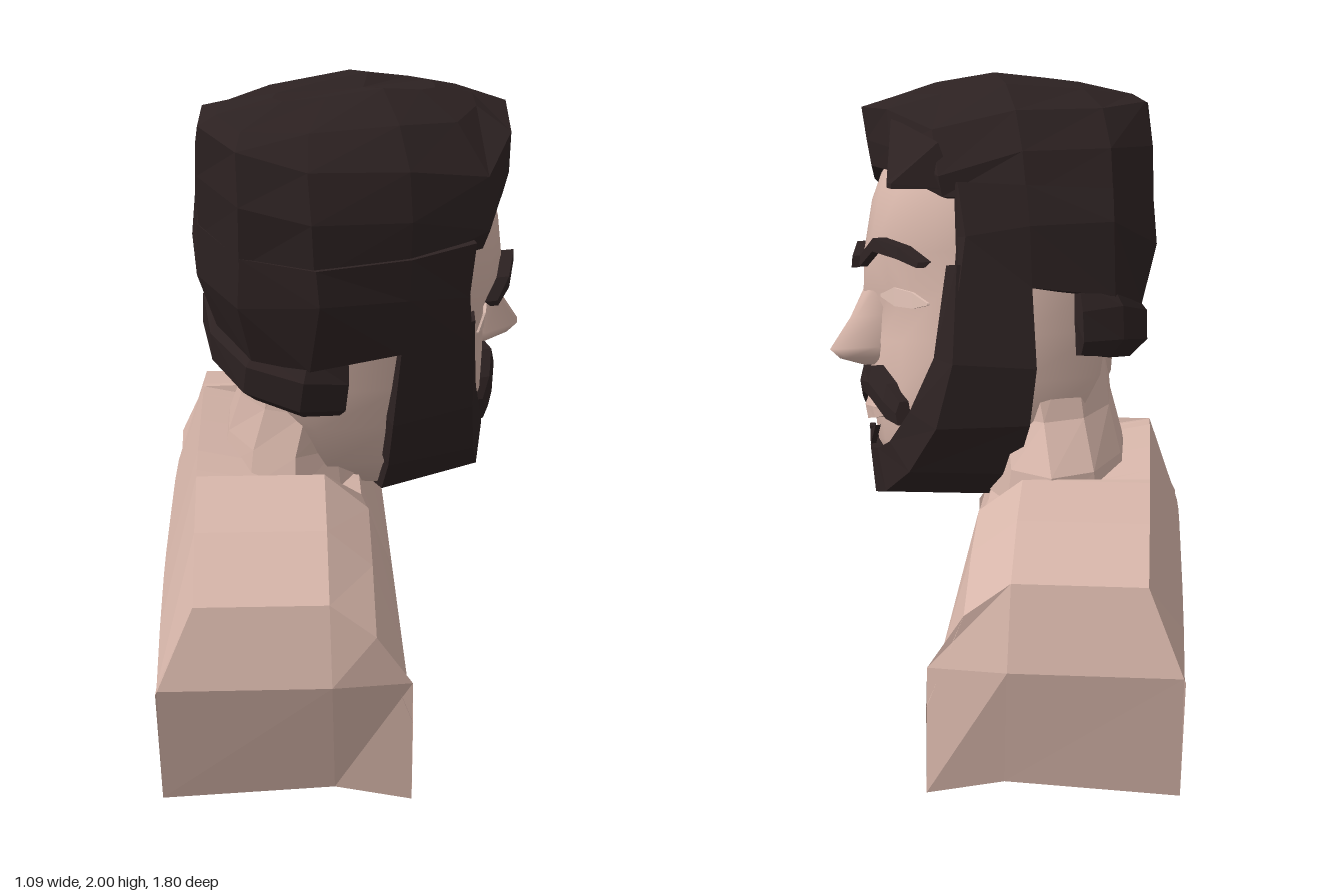
import * as THREE from 'three';

const mat = (name, color) => Object.assign(new THREE.MeshStandardMaterial({ color }), { name });

// Skin a list of closed cross-sections, with optional fan caps at both ends
function loft(sections, { smooth = false, caps = true } = {}) {
  const n = sections[0].length, pos = sections.flat(2), idx = [];
  sections.slice(1).forEach((_, i) => {
    for (let j = 0; j < n; j++) {
      const a = i * n + j, b = i * n + (j + 1) % n;
      idx.push(a, b, b + n, a, b + n, a + n);
    }
  });
  if (caps) [0, sections.length - 1].forEach((i) => {
    const c = pos.length / 3;
    for (let k = 0; k < 3; k++) pos.push(sections[i].reduce((s, p) => s + p[k], 0) / n);
    for (let j = 0; j < n; j++) {
      const a = i * n + j, b = i * n + (j + 1) % n;
      idx.push(...(i ? [c, a, b] : [c, b, a]));
    }
  });
  let g = new THREE.BufferGeometry();
  g.setAttribute('position', new THREE.Float32BufferAttribute(pos, 3));
  g.setIndex(idx);
  if (!smooth) g = g.toNonIndexed();
  g.computeVertexNormals();
  return g;
}

const flip = ([x, y, z]) => [-x, y, z];
// Half outline, front centre to back centre, completed to a ring
const ring = (half) => [...half, ...half.slice(1, -1).reverse().map(flip)];
// Sections from the left side to the middle, continued to the right side
const bothSides = (half) => [...half, ...half.slice(0, -1).reverse().map((s) => s.map(flip))];
// Hair shell section: outer points top to bottom plus inner points
const shell = (outer) => {
  const inner = ([x, y, z]) => [x * 0.82, y, z > 0 ? z : z * 0.8];
  return [inner(outer[0]), ...outer, inner(outer[outer.length - 1])];
};

export function createModel() {
  const model = new THREE.Group();
  model.name = 'bust';
  const skin = mat('skin', 0xd6b5a9);
  const eyeTone = mat('pale eye', 0xdfc0b4);
  const hair = mat('dark hair', 0x2d2222);
  const add = (parent, name, geometry, material) => {
    const m = new THREE.Mesh(geometry, material);
    m.name = name;
    parent.add(m);
  };

  // Shoulders and chest: [z, bottom z, top height, front fold height, fold x, top front x, top front height]
  const base = (z) => 0.063 - 0.078 * z;
  const body = [
    [-0.82, -0.855, 0.76, 0.66, 0.065, -0.065, 0.76], [-0.58, -0.58, 0.85, 0.75, 0.065, -0.065, 0.85],
    [-0.34, -0.34, 0.885, 0.785, 0.065, -0.065, 0.885], [-0.31, -0.31, 0.885, 0.735, 0.075, 0.045, 0.785],
    [-0.23, -0.23, 0.885, 0.6, 0.108, 0.045, 0.78], [0, 0, 0.88, 0.38, 0.16, 0.045, 0.78],
    [0.25, 0.25, 0.87, 0.55, 0.118, 0.045, 0.77], [0.36, 0.36, 0.85, 0.685, 0.078, 0.045, 0.765],
    [0.395, 0.395, 0.843, 0.735, 0.065, -0.065, 0.843], [0.62, 0.62, 0.76, 0.65, 0.065, -0.065, 0.76],
    [0.835, 0.8, 0.63, 0.53, 0.065, -0.065, 0.63],
  ].map(([z, zb, h, f, fx, tx, th]) => {
    const b = base(zb);
    return [[-0.54, b + 0.02, zb], [-0.05, b + 0.045, zb], [0.17, b, zb], [0.17, 0.32 - 0.08 * z, (z + zb) / 2],
      [fx, f, z], [tx, th, z], [-0.44, h, z], [-0.545, h * 0.62, z]];
  });
  // Arm ends: bulge above, then panels folded down to the bottom edge
  const armEnd = (section, y, z) => {
    const [back, mid, front, side] = section;
    return [
      [back, mid, front, side, [0.168, y - 0.03, z * 0.91], [-0.06, y, z], [-0.54, y, z], [-0.545, y - 0.01, z]],
      [back, mid, front, front, front, mid, back, back],
    ];
  };
  add(model, 'shoulders', loft([...armEnd(body[0], 0.53, -0.9).reverse(), ...body,
    ...armEnd(body[body.length - 1], 0.41, 0.9)], { caps: false }), skin);

  // Neck: [centre x, y, centre z, x radius, z radius]
  const neck = [[-0.15, 0.78, 0.02, 0.23, 0.38], [-0.15, 0.89, 0.02, 0.21, 0.36],
    [-0.12, 1.02, 0.08, 0.2, 0.29], [-0.06, 1.28, 0.14, 0.23, 0.26]];
  add(model, 'neck', loft(neck.map(([x, y, z, rx, rz]) => Array.from({ length: 10 }, (_, i) => {
    const t = -(i + 0.5) * Math.PI / 5;
    return [x + rx * Math.cos(t), y, z + rz * Math.sin(t)];
  }))), skin);

  // Head, turned and tilted; built symmetric, facing its own +z
  const head = new THREE.Group();
  head.name = 'head';
  head.position.set(0.03, 1.3, 0.15);
  head.rotation.set(0, THREE.MathUtils.degToRad(108), THREE.MathUtils.degToRad(14), 'YXZ');
  model.add(head);

  // Skull and face: height, then [x, z] from front to back
  const face = [
    [-0.54, [0, 0.34], [0.05, 0.34], [0.12, 0.31], [0.17, 0.22], [0.18, 0.06], [0.14, -0.08], [0, -0.1]],
    [-0.4, [0, 0.42], [0.06, 0.41], [0.15, 0.37], [0.25, 0.26], [0.28, 0.05], [0.26, -0.14], [0, -0.26]],
    [-0.24, [0, 0.43], [0.06, 0.42], [0.17, 0.37], [0.3, 0.26], [0.33, 0.04], [0.3, -0.2], [0, -0.34]],
    [-0.1, [0, 0.43], [0.06, 0.41], [0.17, 0.36], [0.31, 0.26], [0.35, 0.03], [0.32, -0.22], [0, -0.36]],
    [0.05, [0, 0.44], [0.06, 0.37], [0.17, 0.335], [0.3, 0.25], [0.36, 0.02], [0.33, -0.25], [0, -0.4]],
    [0.16, [0, 0.43], [0.06, 0.425], [0.17, 0.39], [0.32, 0.27], [0.36, 0.02], [0.33, -0.25], [0, -0.42]],
    [0.34, [0, 0.39], [0.06, 0.385], [0.17, 0.35], [0.3, 0.25], [0.34, 0], [0.3, -0.25], [0, -0.4]],
    [0.48, [0, 0.33], [0.06, 0.325], [0.15, 0.29], [0.24, 0.2], [0.27, 0], [0.22, -0.22], [0, -0.35]],
  ];
  add(head, 'face', loft(face.map(([y, ...p]) => ring(p.map(([x, z]) => [x, y, z]))), { smooth: true }), skin);

  // Nose: [height, tip z, half width, wing z]
  const nose = [[-0.17, 0.45, 0.03, 0.4], [-0.145, 0.525, 0.07, 0.42], [-0.115, 0.555, 0.075, 0.415],
    [-0.02, 0.485, 0.045, 0.39], [0.1, 0.42, 0.03, 0.38]];
  add(head, 'nose', loft(nose.map(([y, t, w, z]) =>
    ring([[0, y, t], [w * 0.45, y, t - 0.015], [w, y, z], [0, y, 0.34]])), { smooth: true }), skin);

  // Eyes and brows, one set mirrored to the other side
  const brow = [[0.3, 0.125, 0.3, 0.008], [0.255, 0.165, 0.35, 0.018], [0.155, 0.195, 0.405, 0.02],
    [0.08, 0.15, 0.435, 0.018]].map(([x, y, z, t]) =>
    [[x, y - t, z], [x, y - t, z + 0.025], [x, y + t, z + 0.02], [x, y + t, z - 0.02]]);
  const eye = [[0.265, 0.008, 0.288, 0.003], [0.22, 0.022, 0.325, 0.024], [0.14, 0.035, 0.365, 0.028],
    [0.055, 0.042, 0.392, 0.004]].map(([x, y, z, t]) =>
    [[x, y - t, z - 0.003], [x, y - t, z + 0.005], [x, y + t, z + 0.005], [x, y + t, z - 0.003]]);
  const other = (sections) => sections.map((s) => s.map(flip)).reverse();
  add(head, 'leftBrow', loft(brow), hair);
  add(head, 'rightBrow', loft(other(brow)), hair);
  add(head, 'leftEye', loft(eye), eyeTone);
  add(head, 'rightEye', loft(other(eye)), eyeTone);

  // Moustache and lower lip: [x, bottom, top, front z]
  const strip = (list) => loft(bothSides(list.map(([x, b, t, z]) =>
    [[x, b, z - 0.06], [x, b, z - 0.005], [x, (b + t) / 2, z], [x, t, z - 0.015], [x, t, z - 0.06]])));
  add(head, 'moustache', strip([[0.185, -0.35, -0.28, 0.395], [0.15, -0.33, -0.225, 0.425],
    [0.08, -0.27, -0.17, 0.455], [0, -0.25, -0.185, 0.465]]), hair);
  add(head, 'lips', strip([[0.13, -0.32, -0.29, 0.41], [0.07, -0.33, -0.26, 0.445],
    [0, -0.335, -0.25, 0.455]]), skin);
  // Chin tuft
  add(head, 'chinTuft', loft([[0.43, 0.9], [0.447, 1]].map(([z, s]) =>
    [[-0.055 * s, -0.355, z - 0.01], [0, -0.415, z], [0.055 * s, -0.355, z - 0.01], [0, -0.36, z]])), hair);

  // Beard: sections from sideburn to chin (inner back, outer back, outer front, inner front)
  add(head, 'beard', loft(bothSides([
    [[0.33, 0.08, 0], [0.385, 0.08, 0], [0.375, 0.12, 0.22], [0.32, 0.12, 0.24]],
    [[0.33, -0.2, 0], [0.385, -0.2, 0], [0.375, -0.17, 0.25], [0.3, -0.15, 0.29]],
    [[0.25, -0.36, 0.02], [0.34, -0.37, 0.02], [0.32, -0.36, 0.3], [0.225, -0.31, 0.36]],
    [[0.18, -0.42, 0.05], [0.245, -0.52, 0.05], [0.22, -0.49, 0.37], [0.14, -0.4, 0.41]],
    [[0.1, -0.46, 0.07], [0.11, -0.59, 0.08], [0.1, -0.555, 0.425], [0.07, -0.425, 0.437]],
    [[0, -0.48, 0.08], [0, -0.6, 0.1], [0, -0.565, 0.44], [0, -0.425, 0.445]],
  ])), hair);

  // Hair on top: rings from the hairline up to the crown
  add(head, 'hairTop', loft([
    [[0, 0.42, 0.32], [0.16, 0.39, 0.29], [0.29, 0.31, 0.2], [0.34, 0.28, 0], [0.32, 0.26, -0.24], [0.18, 0.25, -0.39], [0, 0.25, -0.43]],
    [[0, 0.44, 0.39], [0.17, 0.41, 0.355], [0.32, 0.32, 0.24], [0.38, 0.31, 0], [0.36, 0.29, -0.27], [0.22, 0.27, -0.44], [0, 0.27, -0.49]],
    [[0, 0.52, 0.4], [0.18, 0.48, 0.36], [0.33, 0.38, 0.25], [0.36, 0.44, 0], [0.33, 0.44, -0.28], [0.21, 0.45, -0.45], [0, 0.45, -0.505]],
    [[0, 0.62, 0.41], [0.16, 0.595, 0.36], [0.28, 0.52, 0.25], [0.305, 0.565, 0], [0.265, 0.565, -0.28], [0.16, 0.59, -0.45], [0, 0.6, -0.51]],
    [[0, 0.65, 0.3], [0.08, 0.645, 0.28], [0.16, 0.635, 0.19], [0.2, 0.655, 0], [0.17, 0.635, -0.25], [0.1, 0.62, -0.42], [0, 0.63, -0.46]],
    [[0, 0.685, 0.18], [0.03, 0.685, 0.17], [0.05, 0.69, 0.12], [0.06, 0.705, 0], [0.05, 0.685, -0.16], [0.03, 0.67, -0.28], [0, 0.67, -0.3]],
  ].map(ring)), hair);

  // Flick of hair at the left temple
  add(head, 'hairFlick', loft([
    [[0.14, 0.42, 0.32], [0.32, 0.34, 0.2], [0.31, 0.48, 0.24], [0.17, 0.57, 0.35]],
    [[0.31, 0.355, 0.4], [0.325, 0.35, 0.39], [0.325, 0.365, 0.39], [0.31, 0.37, 0.4]],
  ]), hair);

  // Hair around the sides and back
  add(head, 'hairSides', loft(bothSides([
    [[0.36, 0.36, 0.2], [0.38, 0.2, 0.19], [0.38, 0.04, 0.22]],
    [[0.385, 0.34, 0], [0.4, 0.22, 0], [0.385, 0.04, 0]],
    [[0.365, 0.32, -0.27], [0.39, 0.22, -0.26], [0.36, 0.0, -0.26]],
    [[0.22, 0.3, -0.44], [0.23, 0.15, -0.44], [0.22, -0.03, -0.385]],
    [[0, 0.3, -0.495], [0, 0.14, -0.49], [0, -0.04, -0.42]],
  ].map(shell))), hair);

  // Rolled hair at the nape
  add(head, 'hairNape', loft(bothSides([
    [[0.36, 0.05, -0.15], [0.385, -0.04, -0.15], [0.38, -0.13, -0.15], [0.34, -0.17, -0.15]],
    [[0.34, 0.03, -0.26], [0.37, -0.03, -0.28], [0.36, -0.13, -0.28], [0.31, -0.18, -0.25]],
    [[0.2, 0, -0.37], [0.22, -0.05, -0.4], [0.21, -0.14, -0.4], [0.18, -0.19, -0.35]],
    [[0, -0.01, -0.41], [0, -0.06, -0.44], [0, -0.15, -0.43], [0, -0.2, -0.38]],
  ].map(shell))), hair);

  return model;
}
